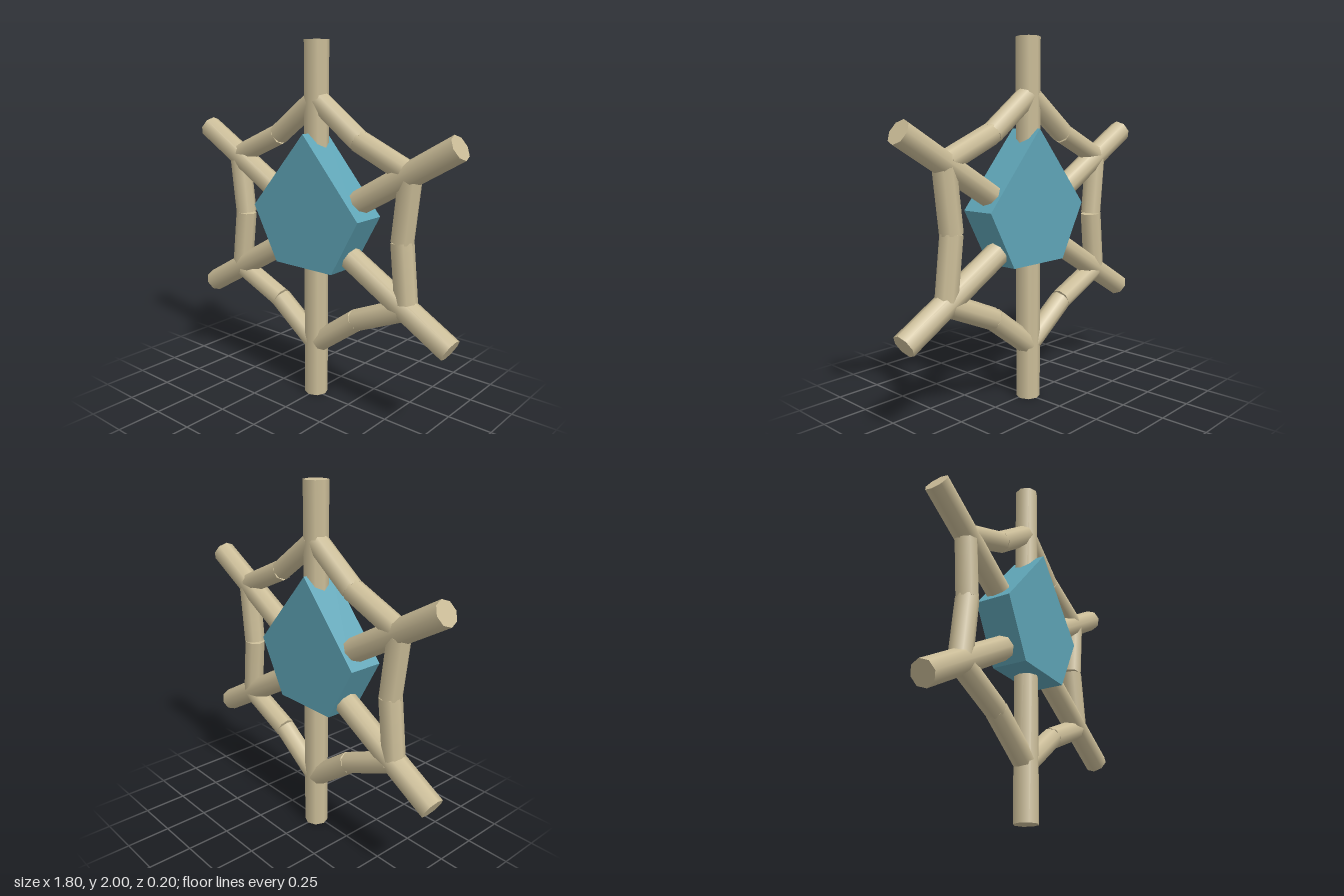
import * as THREE from 'three';

const wood = new THREE.MeshStandardMaterial({ color: 0xcbbd98 });
wood.name = 'tan wood';
const teal = new THREE.MeshStandardMaterial({ color: 0x5fa5b7 });
teal.name = 'teal';

// Eight-sided bar between two points
function bar(name, from, to, radius) {
  const dir = to.clone().sub(from);
  const mesh = new THREE.Mesh(new THREE.CylinderGeometry(radius, radius, dir.length(), 8), wood);
  mesh.name = name;
  mesh.position.copy(from).add(to).multiplyScalar(0.5);
  mesh.quaternion.setFromUnitVectors(new THREE.Vector3(0, 1, 0), dir.normalize());
  return mesh;
}

export function createModel() {
  const model = new THREE.Group();
  model.name = 'webbedWheel';
  const frame = new THREE.Group();
  frame.name = 'frame';
  frame.position.set(0, 1, -0.015);
  model.add(frame);

  // Three long bars crossing at the centre
  for (let i = 0; i < 3; i++) {
    const a = Math.PI / 2 + (i * Math.PI) / 3;
    const end = new THREE.Vector3(Math.cos(a), Math.sin(a), 0);
    frame.add(bar('spoke', end.clone().negate(), end, 0.067));
  }

  // Six web links, each two bars bent in towards the centre
  for (let i = 0; i < 6; i++) {
    const link = new THREE.Group();
    link.name = 'webLink';
    for (const side of [-1, 1]) {
      link.add(bar('webBar', new THREE.Vector3(0.565, 0, -0.005), new THREE.Vector3(0.602, side * 0.33, -0.002), 0.061));
    }
    link.rotation.z = (i * Math.PI) / 3;
    frame.add(link);
  }

  // Five-sided hub plate
  const outline = [[0, 1.515], [-0.37, 1.09], [-0.2, 0.78], [0.2, 0.78], [0.37, 1.09]];
  const shape = new THREE.Shape(outline.map(([x, y]) => new THREE.Vector2(x, y)));
  const hub = new THREE.Mesh(new THREE.ExtrudeGeometry(shape, { depth: 0.2, bevelEnabled: false }), teal);
  hub.name = 'hub';
  hub.position.z = -0.1;
  model.add(hub);

  return model;
}
